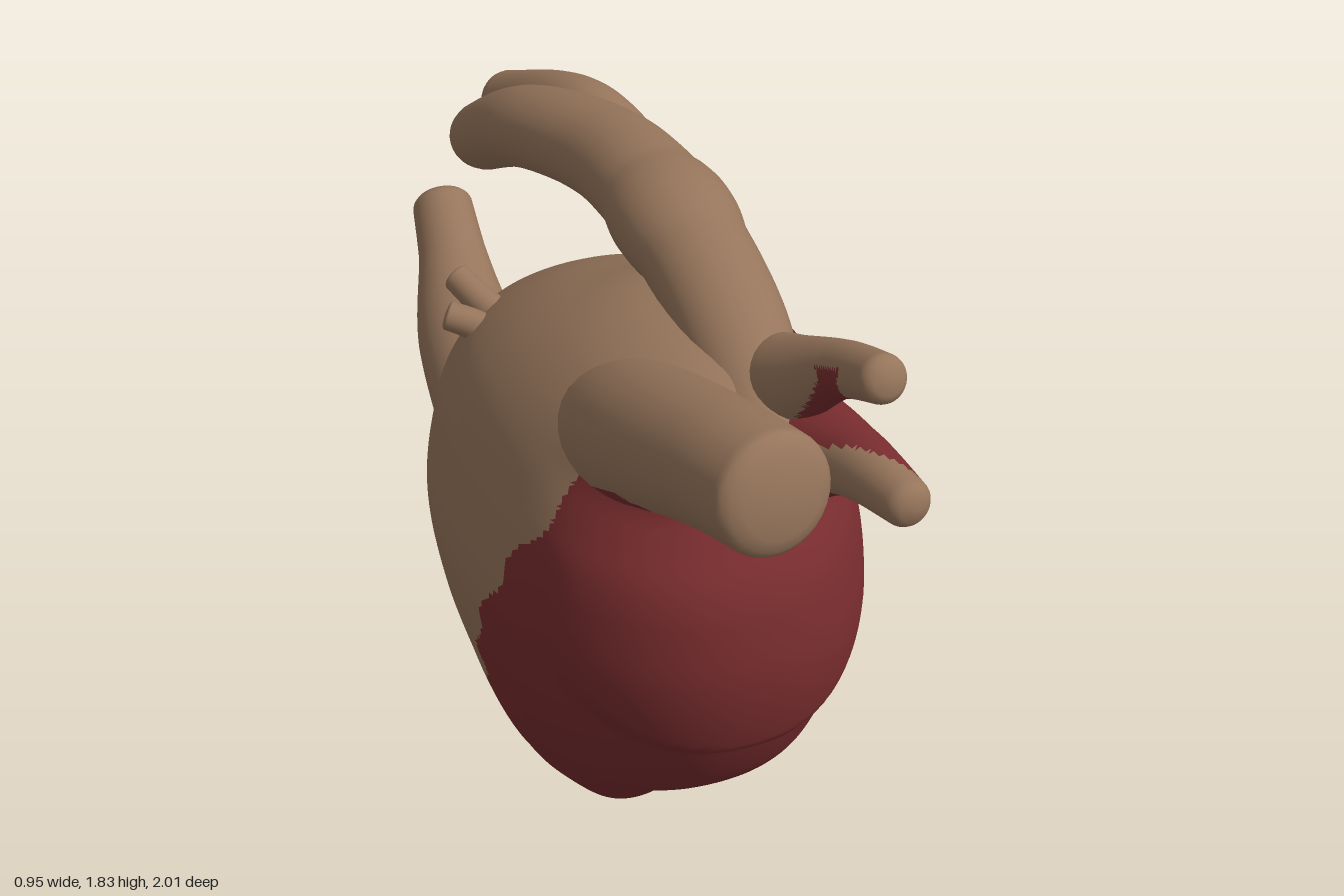
import * as THREE from 'three';
import { mergeVertices } from 'three/addons/utils/BufferGeometryUtils.js';

const red = new THREE.MeshStandardMaterial({ color: 0x7a2d2f });
red.name = 'muscleRed';
const tan = new THREE.MeshStandardMaterial({ color: 0x96755b });
tan.name = 'vesselTan';

const ss = THREE.MathUtils.smoothstep;
const lerp = THREE.MathUtils.lerp;

// Piecewise linear lookup in a list of [key, value] pairs
function lookup(table, k) {
  for (let i = 1; i < table.length; i++) {
    if (k <= table[i][0]) {
      const [k0, v0] = table[i - 1], [k1, v1] = table[i];
      return lerp(v0, v1, Math.max(0, (k - k0) / (k1 - k0)));
    }
  }
  return table[table.length - 1][1];
}

// Sort the faces into a red and a tan group by a rule on their centres
function paint(name, geo, isTan) {
  const p = geo.attributes.position, idx = geo.index.array;
  const lists = [[], []];
  for (let i = 0; i < idx.length; i += 3) {
    const t = [idx[i], idx[i + 1], idx[i + 2]];
    const c = ['getX', 'getY', 'getZ'].map(g => (p[g](t[0]) + p[g](t[1]) + p[g](t[2])) / 3);
    lists[isTan(...c) ? 1 : 0].push(...t);
  }
  geo.setIndex(lists[0].concat(lists[1]));
  geo.clearGroups();
  geo.addGroup(0, lists[0].length, 0);
  geo.addGroup(lists[0].length, lists[1].length, 1);
  const mesh = new THREE.Mesh(geo, [red, tan]);
  mesh.name = name;
  return mesh;
}

// Tapering vessel through [x, y, z, radius] points with a softly rounded blunt end;
// squash flattens its section in height
function vessel(name, pts, isTan = () => true, squash = 1) {
  const segs = 80, sides = 32, cap = 4;
  const curve = new THREE.CatmullRomCurve3(pts.map(p => new THREE.Vector3(p[0], p[1], p[2])));
  const radii = new THREE.CatmullRomCurve3(pts.map(p => new THREE.Vector3(p[3], 0, 0)));
  const geo = new THREE.TubeGeometry(curve, segs, 1, sides);
  const pos = geo.attributes.position, v = new THREE.Vector3();
  for (let i = 0; i <= segs; i++) {
    const u = i / segs, c = curve.getPointAt(u);
    const e = Math.max(0, (i - segs + cap) / cap);
    const r = radii.getPoint(curve.getUtoTmapping(u)).x * Math.sqrt(1 - e * e);
    for (let j = 0; j <= sides; j++) {
      const k = i * (sides + 1) + j;
      v.fromBufferAttribute(pos, k).sub(c).multiplyScalar(r);
      pos.setXYZ(k, c.x + v.x, c.y + v.y * squash, c.z + v.z);
    }
  }
  geo.deleteAttribute('uv');
  geo.deleteAttribute('normal');
  const smooth = mergeVertices(geo, 1e-5);
  smooth.computeVertexNormals();
  return paint(name, smooth, isTan);
}

// Height, front z, back z, right x, left x of each body cross-section
const SECTIONS = [
  [0, -0.08, -0.08, 0, 0],
  [0.015, -0.02, -0.14, -0.06, 0.06],
  [0.06, 0.05, -0.21, -0.12, 0.12],
  [0.2, 0.165, -0.32, -0.23, 0.21],
  [0.3, 0.255, -0.37, -0.285, 0.26],
  [0.4, 0.395, -0.41, -0.33, 0.31],
  [0.5, 0.52, -0.445, -0.368, 0.348],
  [0.6, 0.605, -0.47, -0.4, 0.38],
  [0.8, 0.69, -0.505, -0.455, 0.41],
  [1.0, 0.72, -0.53, -0.48, 0.42],
  [1.2, 0.69, -0.49, -0.455, 0.4],
  [1.3, 0.655, -0.44, -0.43, 0.385],
  [1.4, 0.61, -0.35, -0.39, 0.345],
  [1.5, 0.59, -0.2, -0.315, 0.275],
  [1.58, 0.55, -0.03, -0.22, 0.22],
  [1.63, 0.46, 0.1, -0.11, 0.16],
  [1.65, 0.28, 0.28, 0.02, 0.02],
];

// Where red gives way to tan, as z by height, on each flank
const EDGE_RIGHT = [[0, -0.35], [0.1, -0.25], [0.3, -0.06], [0.5, 0.03], [0.8, 0.17], [1, 0.28], [1.2, 0.38], [1.5, 0.6]];
const EDGE_LEFT = [[0, -0.5], [0.2, -0.46], [0.4, -0.4], [0.65, -0.37], [0.8, -0.39], [1, -0.43], [1.3, -0.42], [1.5, -0.3]];
// Stray red patches on the right flank: y, z, half height, half length
const PATCHES = [[0.91, -0.15, 0.055, 0.09], [0.69, -0.2, 0.035, 0.055]];

function bodyIsTan(x, y, z) {
  const inPatch = ([py, pz, h, l]) => Math.hypot((y - py + 0.8 * (z - pz)) / h, (z - pz) / l) < 1;
  if (x < 0 && PATCHES.some(inPatch)) return false;
  const side = ss(x, -0.42, 0.2);
  const wobble = 0.015 * (1 - side) * Math.sin(y * 31);
  const edge = lerp(lookup(EDGE_RIGHT, y), lookup(EDGE_LEFT, y), side);
  const top = 1.45 + 0.18 * ss(x, 0.03, 0.24) + 0.012 * Math.sin(x * 40 + z * 30);
  return z < edge + wobble || y > top || (y > 1.35 && x < 0.17 && z < 0.2);
}

// Heart body: stacked rounded sections with two raised chambers
function body() {
  const rings = 200, around = 220, pos = [], idx = [];
  const a = new THREE.CatmullRomCurve3(SECTIONS.map(s => new THREE.Vector3(s[0], s[1], s[2])), false, 'catmullrom');
  const b = new THREE.CatmullRomCurve3(SECTIONS.map(s => new THREE.Vector3(s[3], s[4], 0)), false, 'catmullrom');
  const pw = c => Math.sign(c) * Math.abs(c) ** 0.93;
  for (let i = 0; i <= rings; i++) {
    const { x: y, y: zf, z: zb } = a.getPoint(i / rings);
    const { x: xl, y: xr } = b.getPoint(i / rings);
    for (let j = 0; j < around; j++) {
      const t = (j / around) * Math.PI * 2;
      let x = (xl + xr) / 2 + ((xr - xl) / 2) * pw(Math.cos(t));
      let z = (zf + zb) / 2 + ((zf - zb) / 2) * pw(Math.sin(t));
      const ahead = ss(z, 0.2, 0.5);
      // front chamber with a crisp lower lip
      const df = (Math.abs((x + 0.035) / 0.405) ** 2.4 + Math.abs((y - 1.13) / 0.385) ** 2.4) ** (1 / 2.4);
      const front = 0.056 * (1 - ss(df, 0.85, 1.01)) * (1 - ss(y, 1.15, 1.42));
      // swelling under the roots of the front vessels
      const roots = 0.06 * Math.exp(-(((x - 0.13) / 0.11) ** 2) - ((y - 1.42) / 0.07) ** 2)
        + 0.05 * Math.exp(-(((x + 0.16) / 0.12) ** 2) - ((y - 1.46) / 0.07) ** 2);
      // domed chamber on the left flank
      const ds = Math.hypot((z + 0.07) / 0.37, (y - 1.09) / 0.34);
      const side = (0.045 * (1 - ss(ds, 0.62, 1.02)) + 0.012 * Math.max(0, 1 - ds))
        * ss(x, 0.1, 0.3) * (1 - 0.55 * ss(y, 1.08, 1.36));
      x += side;
      z += (front + roots) * ahead - side * 0.25 * ss(-z, 0.1, 0.4);
      pos.push(x, Math.max(0, y), z);
      if (i < rings) {
        const p = i * around + j, q = i * around + ((j + 1) % around);
        idx.push(p, p + around, q, q, p + around, q + around);
      }
    }
  }
  const geo = new THREE.BufferGeometry();
  geo.setAttribute('position', new THREE.Float32BufferAttribute(pos, 3));
  geo.setIndex(idx);
  geo.computeVertexNormals();
  return paint('heartBody', geo, bodyIsTan);
}

export function createModel() {
  const heart = new THREE.Group();
  heart.name = 'heart';
  heart.add(
    body(),
    // Wide trunk leaving at the front
    vessel('frontTrunk', [[-0.15, 1.28, 0.1, 0.17], [-0.165, 1.48, 0.46, 0.155], [-0.135, 1.595, 0.76, 0.138], [-0.1, 1.65, 1.0, 0.13]],
      (x, y) => y > 1.44 || x < -0.29),
    // Long arch running over the top to the back
    vessel('archVessel', [[0.06, 1.46, 0.58, 0.1], [0.08, 1.61, 0.36, 0.122], [0.085, 1.685, 0.14, 0.125], [0.085, 1.708, -0.08, 0.125],
      [0.075, 1.685, -0.33, 0.12], [0.01, 1.605, -0.65, 0.11], [-0.02, 1.42, -0.965, 0.09]], () => true, 0.87),
    // Side vessel joining the arch
    vessel('archBranch', [[0.21, 1.26, -0.16, 0.12], [0.24, 1.41, -0.27, 0.075], [0.22, 1.56, -0.39, 0.065],
      [0.14, 1.63, -0.6, 0.085], [0.055, 1.5, -0.99, 0.075]], (x, y, z) => y - 0.5 * z > 1.7),
    // Forked small vessels at the front
    vessel('upperFork', [[0.1, 1.46, 0.32, 0.12], [0.13, 1.59, 0.54, 0.095], [0.16, 1.71, 0.71, 0.06], [0.17, 1.79, 0.89, 0.05]],
      (x, y, z) => z > 0.78 || y > 1.65 + (z - 0.55) * 0.5 || x < 0.1),
    vessel('lowerFork', [[0.1, 1.3, 0.28, 0.15], [0.145, 1.43, 0.55, 0.13], [0.18, 1.495, 0.73, 0.078], [0.205, 1.52, 0.97, 0.048]],
      (x, y, z) => z > 0.85 + (x - 0.2) * 1.5),
    // Vessel leaving at the back
    vessel('backVessel', [[-0.24, 1.06, -0.1, 0.16], [-0.245, 1.22, -0.42, 0.12], [-0.21, 1.33, -0.62, 0.08], [-0.185, 1.405, -0.765, 0.07]]),
    // Two little stubs on the upper right flank
    vessel('smallStubRear', [[-0.2, 1.36, -0.16, 0.045], [-0.27, 1.42, -0.25, 0.036], [-0.305, 1.455, -0.325, 0.034]]),
    vessel('smallStubFront', [[-0.24, 1.36, -0.12, 0.045], [-0.31, 1.4, -0.19, 0.036], [-0.365, 1.42, -0.225, 0.033]]),
  );
  return heart;
}
